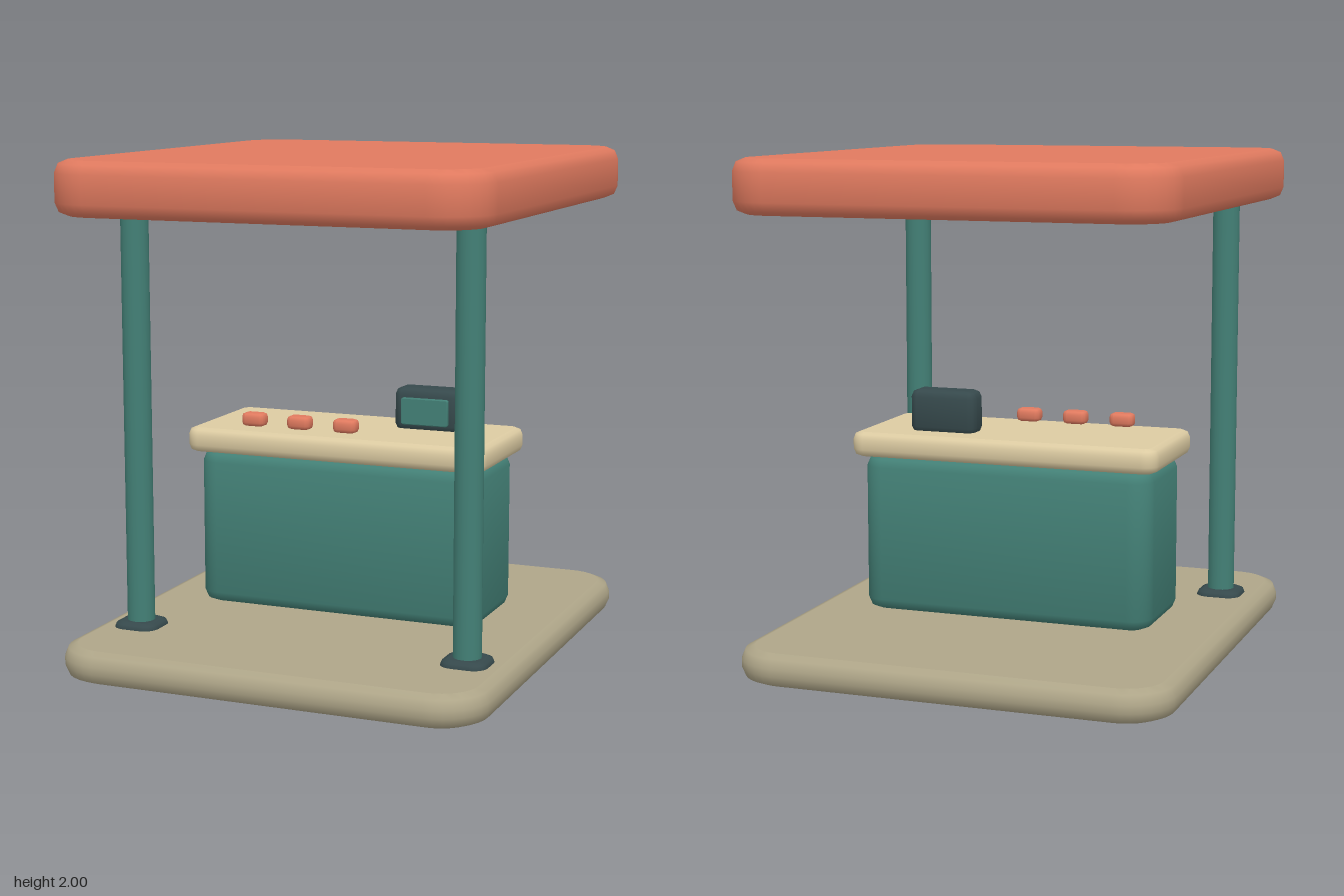
import * as THREE from 'three';
import { toCreasedNormals } from 'three/addons/utils/BufferGeometryUtils.js';

const material = (name, color) => Object.assign(new THREE.MeshStandardMaterial({ color }), { name });

// Slab with rounded plan corners (radius r) and softened top and bottom edges (bevel b), standing on y = 0
function slab(w, h, d, r, b) {
  const x = w / 2 - b, y = d / 2 - b, q = Math.max(r - b, 0.005);
  const s = new THREE.Shape();
  s.absarc(x - q, y - q, q, 0, Math.PI / 2);
  s.absarc(-x + q, y - q, q, Math.PI / 2, Math.PI);
  s.absarc(-x + q, -y + q, q, Math.PI, Math.PI * 1.5);
  s.absarc(x - q, -y + q, q, Math.PI * 1.5, Math.PI * 2);
  s.closePath();
  const raw = new THREE.ExtrudeGeometry(s, {
    depth: h - 2 * b, bevelSize: b, bevelThickness: b, bevelSegments: 2, curveSegments: 4,
  });
  const caps = raw.groups[0];
  const g = toCreasedNormals(raw, 0.8);
  // Keep the top and bottom faces flat
  for (let i = caps.start; i < caps.start + caps.count; i++) {
    g.attributes.normal.setXYZ(i, 0, 0, g.attributes.position.getZ(i) > h / 2 - b ? 1 : -1);
  }
  g.clearGroups();
  g.translate(0, 0, b);
  g.rotateX(-Math.PI / 2);
  return g;
}

export function createModel() {
  const coral = material('coral', 0xe07a5f);
  const teal = material('teal', 0x438076);
  const cream = material('cream', 0xdccba2);
  const stone = material('stone', 0xaea588);
  const slate = material('slate', 0x36494c);

  const model = new THREE.Group();
  model.name = 'serviceKiosk';
  const add = (name, geometry, mat, x, y, z) => {
    const mesh = new THREE.Mesh(geometry, mat);
    mesh.name = name;
    mesh.position.set(x, y, z);
    model.add(mesh);
    return mesh;
  };

  // Base and canopy
  add('base', slab(1.74, 0.13, 1.98, 0.2, 0.05), stone, 0, 0, 0);
  add('canopy', slab(1.74, 0.21, 1.97, 0.2, 0.05), coral, 0, 1.79, 0);
  add('ceilingLamp', new THREE.CylinderGeometry(0.11, 0.11, 0.008, 24), cream, 0, 1.79, 0.56);

  // Front posts with their feet
  for (const side of [-1, 1]) {
    const x = side * 0.69;
    add('post', new THREE.CylinderGeometry(0.055, 0.055, 1.68, 16), teal, x, 0.96, 0.545);
    add('postFoot', slab(0.19, 0.065, 0.19, 0.06, 0.03), slate, x, 0.09, 0.545);
    add('footBolt', new THREE.BoxGeometry(0.05, 0.006, 0.05), slate, x, 0.002, 0.545);
  }

  // Counter
  add('counterBody', slab(1.21, 0.635, 0.495, 0.09, 0.045), teal, 0, 0.15, -0.04);
  add('counterTop', slab(1.28, 0.1, 0.565, 0.06, 0.03), cream, 0, 0.785, -0.037);

  // Goods on the counter
  for (let i = 0; i < 3; i++) {
    add('counterItem', slab(0.1, 0.053, 0.07, 0.025, 0.015), coral, -0.37 + i * 0.2, 0.895, 0.14);
  }

  // Register with its screen
  add('register', slab(0.28, 0.18, 0.125, 0.04, 0.03), slate, 0.29, 0.872, -0.132);
  add('registerScreen', slab(0.2, 0.02, 0.11, 0.01, 0.004), teal, 0.29, 0.96, -0.073).rotation.x = Math.PI / 2;

  return model;
}
